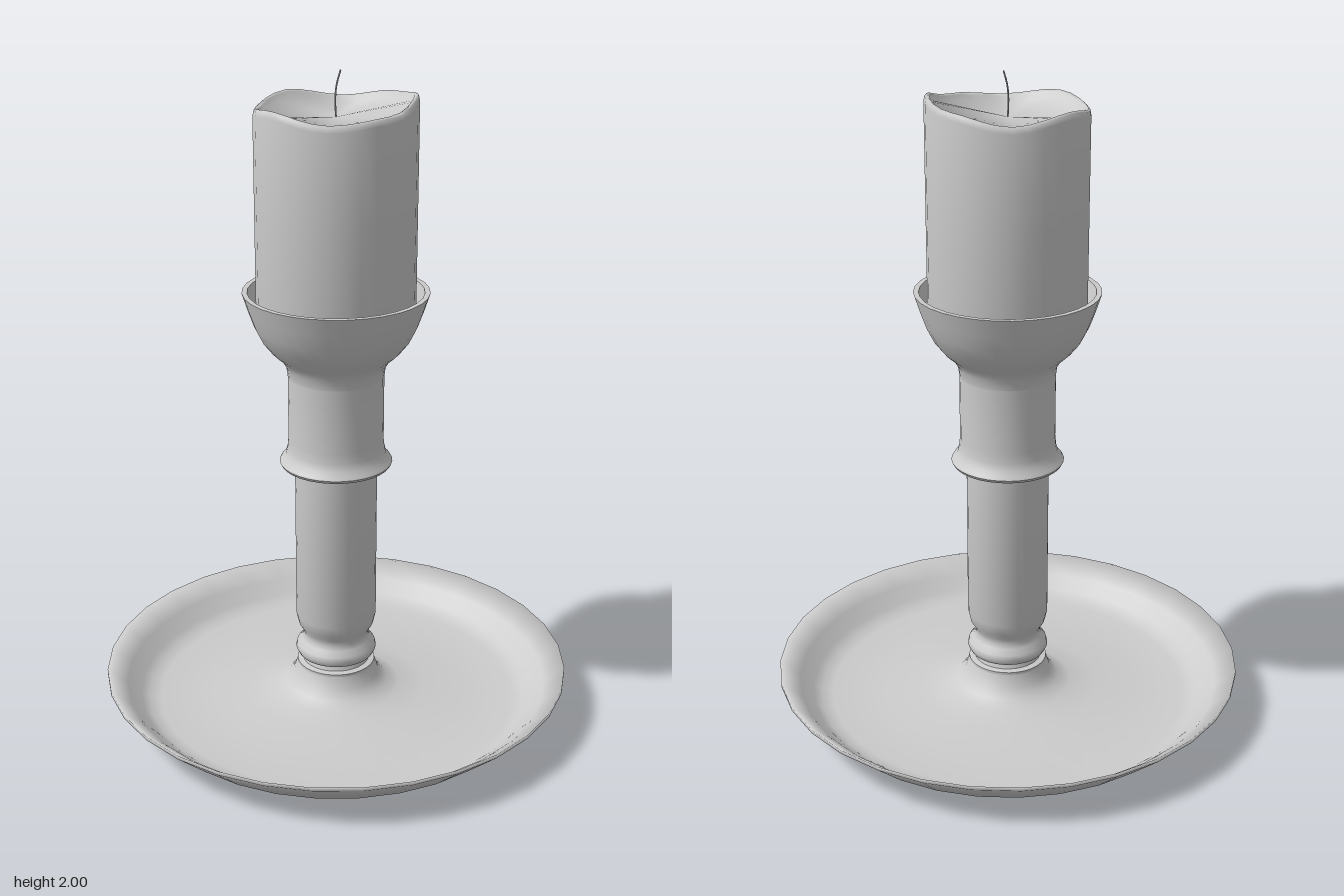
import * as THREE from 'three';
import { toCreasedNormals } from 'three/addons/utils/BufferGeometryUtils.js';

const SIDES = 32;
const material = new THREE.MeshStandardMaterial({ color: 0xcccccc, side: THREE.DoubleSide });

function lathe(profile) {
  return new THREE.LatheGeometry(profile.map(([r, y]) => new THREE.Vector2(r, y)), SIDES);
}

function part(name, geometry, crease = 0.9) {
  const mesh = new THREE.Mesh(toCreasedNormals(geometry, crease), material);
  mesh.name = name;
  return mesh;
}

// Candle with a melted, wavy rim and a shallow hollow of wax running to the wick
function candleGeometry() {
  const geometry = lathe([
    [0, 1.275], [0.232, 1.275], [0.235, 1.3], [0.235, 1.6], [0.235, 1.885], [0.232, 1.9],
    [0.226, 1.905], [0.219, 1.9], [0.213, 1.882], [0, 1.87],
  ]);
  // rim heights every 45 degrees, starting at +x and turning towards +z
  const rim = [0, -0.015, 0.008, -0.012, 0.01, -0.015, 0.012, 0.032];
  const pos = geometry.attributes.position;
  for (let i = 0; i < pos.count; i++) {
    const x = pos.getX(i), y = pos.getY(i), z = pos.getZ(i);
    if (y < 1.88) continue;
    const turn = (Math.atan2(z, x) / (Math.PI / 4) + 8) % 8;
    const k = Math.floor(turn);
    const s = THREE.MathUtils.smoothstep(turn - k, 0, 1);
    pos.setY(i, y + THREE.MathUtils.lerp(rim[k % 8], rim[(k + 1) % 8], s));
  }
  return geometry;
}

export function createModel() {
  const group = new THREE.Group();
  group.name = 'candlestick';

  // Thin round drip tray with soft shading over the rim, flaring up to the stem
  group.add(part('dripTray', lathe([
    [0, 0], [0.54, 0], [0.575, 0.007], [0.61, 0.027], [0.66, 0.072], [0.722, 0.128],
    [0.722, 0.14], [0.66, 0.09], [0.62, 0.052], [0.595, 0.036], [0.56, 0.03],
    [0.4, 0.036], [0.28, 0.045], [0.2, 0.057], [0.16, 0.074], [0.135, 0.1], [0.122, 0.138],
  ]), Math.PI));

  // Turned stem with foot ring, bead and collar
  group.add(part('stem', lathe([
    [0.122, 0.12], [0.122, 0.146], [0.104, 0.149], [0.1, 0.162],
    [0.118, 0.172], [0.126, 0.188], [0.122, 0.205], [0.107, 0.22], [0.101, 0.236], [0.104, 0.253],
    [0.117, 0.275], [0.125, 0.31], [0.125, 0.81],
    [0.14, 0.812], [0.166, 0.817], [0.171, 0.826], [0.166, 0.834],
    [0.153, 0.848], [0.147, 0.87], [0.144, 0.9], [0.144, 1.1],
  ])));

  // Rounded, flared cup that holds the candle
  group.add(part('cup', lathe([
    [0.144, 1.1], [0.148, 1.13], [0.163, 1.155], [0.193, 1.182], [0.22, 1.216],
    [0.242, 1.26], [0.259, 1.307], [0.276, 1.36], [0.26, 1.36],
    [0.247, 1.31], [0.232, 1.265], [0.21, 1.222], [0.18, 1.192], [0, 1.18],
  ])));

  group.add(part('candle', candleGeometry(), 1.4));

  // Slightly bent wick
  const bend = new THREE.CatmullRomCurve3([
    new THREE.Vector3(0, 1.865, 0), new THREE.Vector3(0, 1.92, 0.003),
    new THREE.Vector3(0, 1.96, -0.002), new THREE.Vector3(0.003, 2, -0.014),
  ]);
  group.add(part('wick', new THREE.TubeGeometry(bend, 10, 0.0025, 6), 1.2));

  return group;
}
